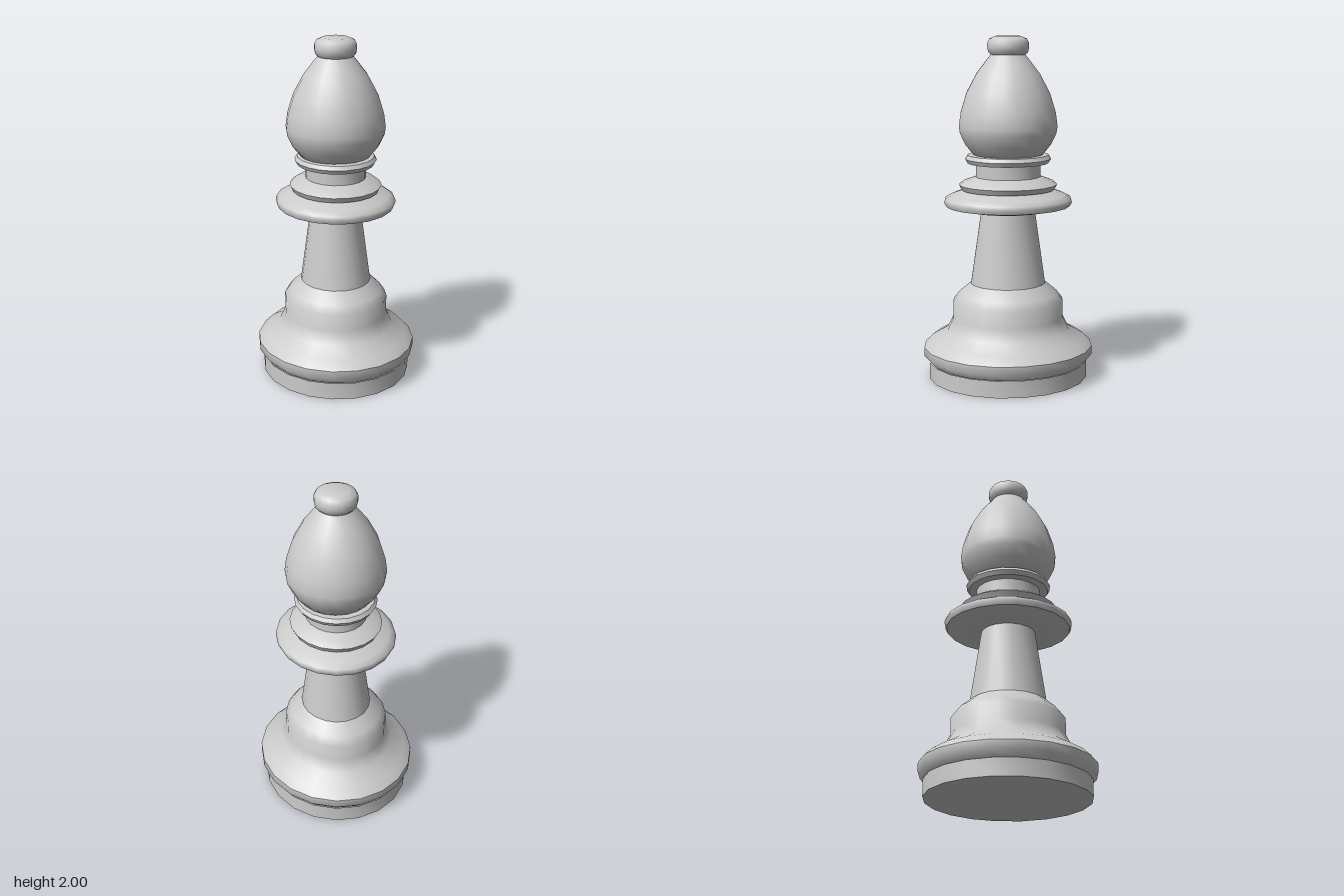
import * as THREE from 'three';
import { toCreasedNormals } from 'three/addons/utils/BufferGeometryUtils.js';

const SIDES = 20;
const OVAL = 1.08; // depth of the oval lower parts relative to their width

// Profiles are [radius, height] pairs, listed from bottom to top.
const parts = [
  // Plinth with closed underside
  { name: 'plinth', depth: OVAL, profile: [[0, 0], [0.435, 0], [0.435, 0.1]] },
  // Wide rounded band around the foot
  { name: 'footBand', depth: OVAL, profile: [[0.43, 0.1], [0.463, 0.14], [0.463, 0.19]] },
  // Stepped bell rising to the stem
  {
    name: 'bell', depth: OVAL,
    profile: [[0.463, 0.19], [0.42, 0.235], [0.335, 0.287], [0.302, 0.36], [0.302, 0.46], [0.27, 0.505], [0.204, 0.565]],
  },
  // Tapering stem
  { name: 'stem', depth: OVAL, profile: [[0.204, 0.565], [0.146, 1.0]] },
  // Broad collar
  {
    name: 'collar', depth: OVAL,
    profile: [[0.146, 1.0], [0.22, 1.0], [0.335, 1.025], [0.347, 1.05], [0.342, 1.07], [0.31, 1.09], [0.235, 1.118]],
  },
  // Smaller ring resting on the collar
  {
    name: 'collarRing', depth: OVAL,
    profile: [[0.235, 1.118], [0.25, 1.12], [0.265, 1.15], [0.24, 1.17], [0.175, 1.195]],
  },
  // Short neck
  { name: 'neck', depth: OVAL, profile: [[0.175, 1.195], [0.175, 1.272]] },
  // Thin ring below the head
  {
    name: 'neckRing', depth: 1.06,
    profile: [[0.175, 1.272], [0.222, 1.275], [0.236, 1.3], [0.222, 1.322], [0.18, 1.325]],
  },
  // Teardrop head
  {
    name: 'head', depth: 1,
    profile: [[0.18, 1.32], [0.202, 1.325], [0.25, 1.385], [0.28, 1.45], [0.286, 1.49], [0.275, 1.57],
      [0.241, 1.68], [0.182, 1.79], [0.128, 1.86], [0.1, 1.895]],
  },
  // Finial knob
  {
    name: 'knob', depth: 1,
    profile: [[0.1, 1.895], [0.115, 1.91], [0.12, 1.935], [0.12, 1.962], [0.108, 1.985], [0.075, 2], [0, 2]],
  },
];

export function createModel() {
  const group = new THREE.Group();
  group.name = 'chessPiece';
  const material = new THREE.MeshStandardMaterial({ color: 0xcccccc });
  for (const { name, depth, profile } of parts) {
    const points = profile.map(([r, y]) => new THREE.Vector2(r, y));
    const lathe = new THREE.LatheGeometry(points, SIDES);
    lathe.scale(1, 1, depth);
    const mesh = new THREE.Mesh(toCreasedNormals(lathe, THREE.MathUtils.degToRad(50)), material);
    mesh.name = name;
    group.add(mesh);
  }
  return group;
}
